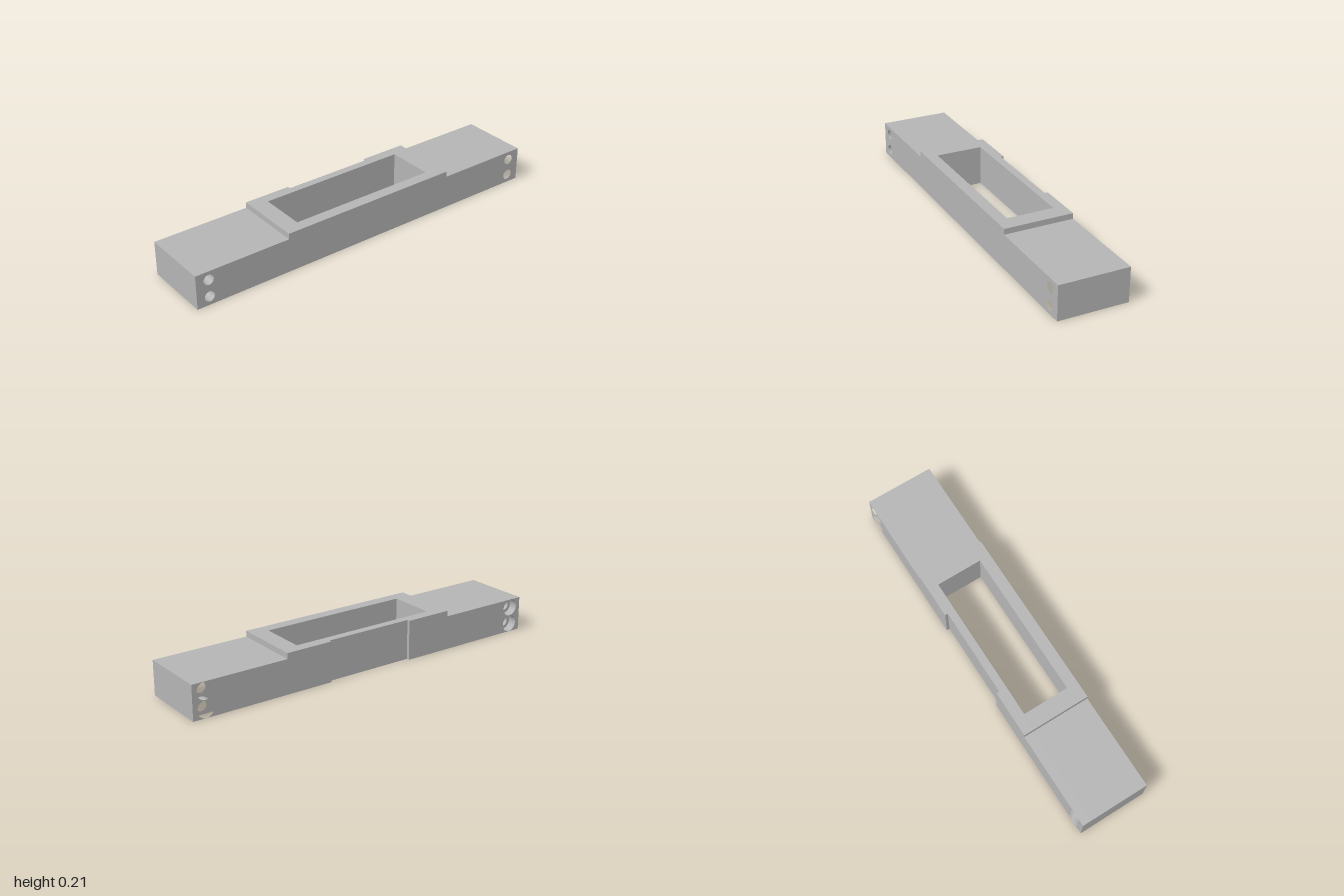
import * as THREE from 'three';
import { toCreasedNormals } from 'three/addons/utils/BufferGeometryUtils.js';

const HALF_W = 0.182, END = 1, PAD_END = 0.49, POCKET_END = 0.4;
const LOW = 0.18, HIGH = 0.21;
const POCKET_LEFT = 0.122, POCKET_RIGHT = -0.125;
const BOLT_Z = 0.932, BOLT_Y = [0.045, 0.135];
const BOLT_R = 0.027, BORE_R = 0.0445, BORE_FLOOR = -HALF_W + 0.045;
const RECESS_X = -0.166, RECESS_END = 0.24;

export function createModel() {
  const model = new THREE.Group();
  const grey = new THREE.MeshStandardMaterial({ color: 0xb4b4b4 });
  grey.name = 'plain grey';

  const add = (name, geometry) => {
    const mesh = new THREE.Mesh(toCreasedNormals(geometry, 0.5), grey);
    mesh.name = name;
    model.add(mesh);
  };
  const polygon = (pts) => new THREE.Shape(pts.map(([a, b]) => new THREE.Vector2(a, b)));

  // Stepped end block: side profile with two bolt holes, extruded across the width
  const endSlab = (side, xFrom, xTo, holeRadius) => {
    const shape = polygon([
      [POCKET_END, 0], [END, 0], [END, LOW], [PAD_END, LOW], [PAD_END, HIGH], [POCKET_END, HIGH],
    ].map(([z, y]) => [z * side, y]));
    for (const y of BOLT_Y) {
      const hole = new THREE.Path();
      hole.absarc(side * BOLT_Z, y, holeRadius, 0, Math.PI * 2, true);
      shape.holes.push(hole);
    }
    const geometry = new THREE.ExtrudeGeometry(shape, {
      depth: xFrom - xTo, bevelEnabled: false, curveSegments: 24,
    });
    return geometry.rotateY(-Math.PI / 2).translate(xFrom, 0, 0);
  };

  for (const [side, label] of [[1, 'front'], [-1, 'back']]) {
    add(label + 'EndBlock', endSlab(side, HALF_W, BORE_FLOOR, BOLT_R));
    add(label + 'CounterboredFace', endSlab(side, BORE_FLOOR, -HALF_W, BORE_R));
  }

  // Plain rail on the left of the pocket
  const leftWidth = HALF_W - POCKET_LEFT;
  add('leftRail', new THREE.BoxGeometry(leftWidth, HIGH, POCKET_END * 2)
    .translate(POCKET_LEFT + leftWidth / 2, HIGH / 2, 0));

  // Rail on the right, with a shallow recess in its outer face
  const plan = polygon([
    [POCKET_RIGHT, -POCKET_END], [POCKET_RIGHT, POCKET_END], [-HALF_W, POCKET_END],
    [-HALF_W, RECESS_END], [RECESS_X, RECESS_END], [RECESS_X, -RECESS_END],
    [-HALF_W, -RECESS_END], [-HALF_W, -POCKET_END],
  ]);
  add('rightRail', new THREE.ExtrudeGeometry(plan, { depth: HIGH, bevelEnabled: false })
    .rotateX(-Math.PI / 2));

  return model;
}
